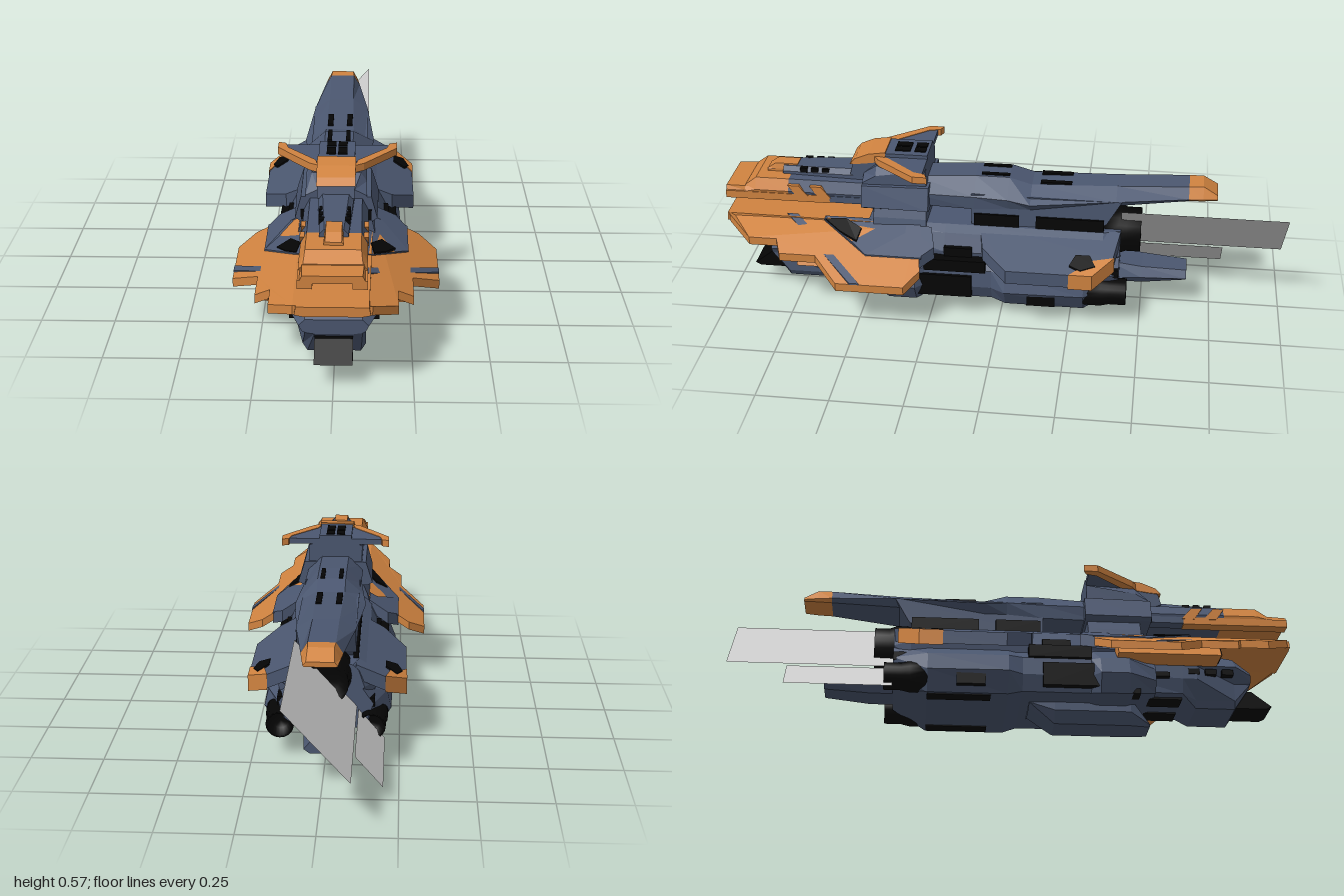
import * as THREE from 'three';

const mat = (name, color, side = THREE.FrontSide) => {
  const m = new THREE.MeshStandardMaterial({ color, side });
  m.name = name;
  return m;
};

export function createModel() {
  const ship = new THREE.Group();
  ship.name = 'spaceship';
  const blue = mat('slate blue', 0x4b5770), orange = mat('orange', 0xd08340);
  const black = mat('black', 0x050505), grey = mat('exhaust grey', 0xd0d0d0, THREE.DoubleSide);

  const add = (name, geo, material) => {
    const m = new THREE.Mesh(geo, material);
    m.name = name;
    ship.add(m);
  };
  // Box given by its limits on each axis
  const box = (name, m, x0, x1, y0, y1, z0, z1) =>
    add(name, new THREE.BoxGeometry(x1 - x0, y1 - y0, z1 - z0)
      .translate((x0 + x1) / 2, (y0 + y1) / 2, (z0 + z1) / 2), m);
  const pair = (name, m, x0, x1, ...rest) => {
    box(name + 'Left', m, x0, x1, ...rest);
    box(name + 'Right', m, -x1, -x0, ...rest);
  };
  // Symmetric faceted body: sections run front to back as [z, [x, y]...], bottom to top
  const loft = (name, m, sections) => {
    const rings = sections.map(([z, ...half]) => [
      ...half.map(([x, y]) => [x, y, z]),
      ...half.slice().reverse().map(([x, y]) => [-x, y, z])]);
    const p = [], n = rings[0].length;
    const tri = (...v) => v.forEach(q => p.push(...q));
    for (let i = 0; i < rings.length - 1; i++) for (let j = 0; j < n; j++) {
      const a = rings[i][j], b = rings[i][(j + 1) % n], c = rings[i + 1][j], d = rings[i + 1][(j + 1) % n];
      tri(a, c, b); tri(b, c, d);
    }
    const f = rings[0], e = rings[rings.length - 1];
    for (let j = 1; j < n - 1; j++) { tri(f[0], f[j], f[j + 1]); tri(e[0], e[j + 1], e[j]); }
    const g = new THREE.BufferGeometry();
    g.setAttribute('position', new THREE.Float32BufferAttribute(p, 3));
    g.computeVertexNormals();
    add(name, g, m);
  };
  const extrude = (pts, depth) => new THREE.ExtrudeGeometry(
    new THREE.Shape(pts.map(q => new THREE.Vector2(...q))), { depth, bevelEnabled: false });
  // Side profile in (z, y), extruded to half width w
  const profile = (name, m, w, pts) =>
    add(name, extrude(pts, 2 * w).rotateY(-Math.PI / 2).translate(w, 0, 0), m);
  // Mirrored plates with a plan outline in (x, z), lying on a sloped surface
  const plates = (name, m, outline, thick, height) => [1, -1].forEach(s => {
    const g = extrude(outline.map(([x, z]) => [s * x, -z]), thick).rotateX(-Math.PI / 2);
    const p = g.attributes.position;
    for (let i = 0; i < p.count; i++) p.setY(i, p.getY(i) + height(Math.abs(p.getX(i))));
    g.computeVertexNormals();
    add(name + (s > 0 ? 'Left' : 'Right'), g, m);
  });

  // Lower nose and lower hull
  loft('lowerNose', blue, [
    [.85, [.06, .15], [.09, .155], [.1, .16], [.11, .18], [.09, .2]],
    [.79, [.085, .06], [.1, .085], [.1, .15], [.14, .2], [.09, .25]],
    [.65, [.085, .06], [.1, .085], [.14, .15], [.14, .2], [.09, .27]],
    [.6, [.09, .09], [.12, .1], [.14, .15], [.14, .2], [.09, .27]],
    [.36, [.09, .09], [.13, .1], [.14, .16], [.14, .22], [.09, .27]]]);
  loft('lowerHull', blue, [
    [.5, [.14, .09], [.17, .125], [.165, .17], [.12, .24]],
    [.4, [.195, .062], [.23, .125], [.205, .19], [.14, .25]],
    [.3, [.195, .062], [.23, .125], [.205, .19], [.14, .25]],
    [.27, [.17, .07], [.195, .125], [.19, .19], [.14, .25]],
    [.03, [.17, .07], [.195, .125], [.19, .19], [.14, .25]],
    [-.02, [.18, .055], [.225, .125], [.205, .19], [.14, .25]],
    [-.3, [.18, .055], [.22, .125], [.205, .19], [.14, .25]],
    [-.42, [.1, .1], [.14, .13], [.16, .19], [.12, .25]]]);
  profile('noseIntake', black, .06, [[.93, .085], [.86, .14], [.76, .145], [.76, .075], [.91, .075]]);
  loft('ventralFin', blue, [
    [.49, [.045, 0], [.055, .005], [.05, .01]],
    [.42, [.055, 0], [.085, .04], [.085, .09]],
    [.15, [.055, 0], [.085, .04], [.085, .09]],
    [.06, [.05, .06], [.08, .07], [.08, .09]]]);
  loft('tailBoom', blue, [
    [-.38, [.05, .1], [.07, .12], [.05, .18]],
    [-.5, [.05, .1], [.07, .13], [.05, .165]],
    [-.66, [.04, .115], [.06, .13], [.04, .155]]]);

  // Middle hull, with a gap right through between the two upper blocks
  loft('middleHull', blue, [
    [.48, [.12, .22], [.14, .25], [.13, .31], [.11, .328]],
    [.2, [.16, .2], [.17, .25], [.14, .31], [.11, .33]],
    [-.36, [.16, .2], [.17, .25], [.14, .31], [.11, .33]],
    [-.42, [.1, .22], [.13, .25], [.11, .31], [.09, .33]]]);
  loft('frontTower', blue, [
    [.46, [.13, .31], [.12, .345], [.1, .39], [.1, .45]],
    [.27, [.13, .31], [.12, .345], [.1, .39], [.1, .45]]]);
  loft('shoulders', blue, [
    [.5, [.12, .38], [.135, .39], [.115, .465]],
    [.26, [.12, .38], [.14, .39], [.115, .47]]]);
  profile('rearTower', blue, .1, [[.11, .45], [.11, .32], [-.32, .32], [-.37, .36], [-.42, .45]]);
  add('centralGun', new THREE.CylinderGeometry(.03, .04, .03, 20).rotateX(Math.PI / 2).translate(0, .355, .472), blue);

  // Dorsal spine and its painted tip
  loft('spine', blue, [
    [.32, [.09, .39], [.1, .44], [.05, .485]],
    [.1, [.1, .39], [.105, .44], [.05, .498]],
    [-.02, [.1, .4], [.115, .44], [.05, .498]],
    [-.1, [.1, .4], [.125, .43], [.05, .475]],
    [-.4, [.08, .425], [.1, .45], [.045, .485]],
    [-.65, [.055, .448], [.068, .46], [.045, .498]]]);
  loft('spineTip', orange, [
    [-.65, [.055, .448], [.068, .46], [.045, .498]],
    [-.7, [.055, .45], [.062, .46], [.042, .5]],
    [-.75, [.05, .453], [.055, .458], [.045, .47]]]);

  // Upper nose: painted front, blue rear, slanted bands on the flanks
  const sec = z => [z, [.1, .4], [.105, .42], [.085, .46]];
  loft('upperNoseLip', orange, [[1, [.08, .4], [.1, .405], [.09, .425]], [.9, [.08, .4], [.1, .405], [.095, .428]]]);
  loft('upperNoseFront', orange, [[.93, [.1, .4], [.105, .41], [.09, .43]], sec(.89), sec(.77)]);
  loft('upperNoseRear', blue, [sec(.77), sec(.46)]);
  [.74, .66].forEach(z => profile('noseBand', orange, .107,
    [[z, .402], [z - .045, .402], [z - .01, .445], [z + .03, .445]]));
  pair('noseRail', orange, .06, .105, .382, .41, .62, 1);
  pair('noseRailRear', blue, .06, .105, .385, .41, .46, .62);
  loft('noseRidge', blue, [[.8, [.045, .45], [.045, .47], [.03, .485]], [.5, [.06, .45], [.06, .475], [.045, .495]]]);
  loft('noseSensor', orange, [[.86, [.03, .45], [.03, .465], [.025, .47]], [.83, [.03, .45], [.03, .47], [.025, .49]],
    [.75, [.03, .45], [.03, .47], [.025, .49]]]);
  for (let i = 0; i < 3; i++) pair('noseVent', black, .032, .05, .47, .488, .63 + i * .04, .655 + i * .04);

  // Bridge with swept side wings
  loft('bridgeBase', blue, [[.5, [.1, .44], [.1, .47], [.06, .49]], [.45, [.1, .44], [.1, .5], [.08, .53]],
    [.27, [.1, .44], [.1, .53], [.08, .54]]]);
  profile('bridge', blue, .06, [[.55, .48], [.54, .52], [.47, .563], [.42, .57], [.27, .57], [.27, .46], [.5, .46]]);
  profile('bridgeHood', orange, .063, [[.55, .522], [.53, .545], [.48, .566], [.42, .575], [.42, .54], [.5, .527]]);
  plates('bridgeWing', blue, [[.05, .27], [.05, .42], [.08, .42], [.18, .29], [.18, .27]], .02, () => .537);
  plates('bridgeWingEdge', orange, [[.06, .46], [.09, .44], [.2, .3], [.2, .25], [.175, .26], [.165, .3], [.07, .41]], .025, () => .534);
  pair('bridgeVent', black, .004, .034, .565, .574, .28, .32);
  pair('bridgeVent', black, .004, .034, .565, .574, .335, .39);

  // Lower front wings, drooping, with blue inner panel, stripe and vent
  const droop = x => .322 - .59 * Math.max(0, x - .125);
  loft('wingCentre', orange, [[1, [.09, .29], [.115, .295], [.11, .322]], [.46, [.09, .285], [.12, .29], [.12, .324]]]);
  plates('frontWing', orange, [[.09, .99], [.12, .99], [.2, .9], [.2, .8], [.25, .78], [.25, .65], [.34, .56],
    [.34, .32], [.28, .27], [.125, .3], [.09, .3]], .03, x => droop(x) - .03);
  plates('wingPanel', blue, [[.1, .29], [.125, .29], [.24, .27], [.24, .47], [.125, .64], [.1, .64]], .005, droop);
  plates('wingStripe', blue, [[.341, .475], [.341, .51], [.1, .78], [.1, .74]], .006, droop);
  plates('wingVent', black, [[.15, .5], [.195, .51], [.165, .575], [.125, .635], [.115, .56]], .008, droop);
  plates('wingRoot', blue, [[.13, .25], [.2, .23], [.24, .28], [.22, .34], [.13, .34]], .045, x => droop(x) - .04);
  [1, -1].forEach(s => {
    const pod = [[.12, .24], [.145, .197], [.24, .197], [.21, .25], [.15, .28]];
    const vent = [[.14, .22], [.15, .205], [.225, .205], [.205, .238], [.17, .255]];
    add('wingPod', extrude(pod.map(([x, y]) => [s * x, y]), .36).translate(0, 0, .36), orange);
    add('wingPodVent', extrude(vent.map(([x, y]) => [s * x, y]), .006).translate(0, 0, .72), black);
  });

  // Rear wings with painted corners
  const rearDroop = x => .256 - .5 * (x - .15);
  plates('rearWing', blue, [[.1, .08], [.19, .06], [.27, -.03], [.27, -.33], [.2, -.4], [.1, -.42]], .05, rearDroop);
  plates('rearWingCorner', orange, [[.273, -.25], [.273, -.332], [.2, -.405], [.215, -.33]], .058, x => rearDroop(x) - .004);
  plates('rearWingVent', black, [[.2, -.27], [.24, -.25], [.257, -.29], [.238, -.34], [.2, -.32]], .057, rearDroop);

  // Dark machinery and vents along the sides and belly
  [[.1, .205, .19, .235, .05, .27], [.1, .202, .085, .17, .1, .3], [.09, .108, .325, .375, -.06, .1],
    [.09, .108, .325, .375, -.36, -.12], [.15, .176, .23, .27, .1, .2], [.195, .216, .075, .115, -.2, -.1],
    [.12, .17, .052, .07, -.3, -.08], [.135, .19, .066, .084, .4, .44], [.13, .16, .148, .165, .45, .55],
    [.03, .1, .085, .1, .45, .6], [.025, .045, .46, .484, -.24, -.13], [.025, .04, .48, .503, -.02, .08],
    [.095, .116, .385, .42, .36, .503], [.145, .165, .18, .21, -.42, -.36],
    [.1, .143, .168, .188, .62, .66], [.1, .142, .168, .188, .68, .72], [.1, .142, .168, .188, .74, .78]]
    .forEach(v => pair('machinery', black, ...v));

  // Engines
  const engine = (name, x, y, r0, r1, z0, z1) => {
    const pts = [[0, 0], [r0, 0], [r0, .4], [r1, .6], [r1, 1], [r1 * .85, 1], [r1 * .6, .75], [0, .75]];
    const g = new THREE.LatheGeometry(pts.map(([r, t]) => new THREE.Vector2(r, t * (z0 - z1))), 20);
    add(name, g.rotateX(-Math.PI / 2).translate(x, y, z0), black);
  };
  engine('mainEngine', 0, .29, .09, .08, -.36, -.49);
  [1, -1].forEach(s => engine('lowerEngine', s * .155, .12, .055, .048, -.3, -.45));

  // Flat exhaust sheets, tilted about the long axis
  const sheet = (name, x0, y0, x1, y1, z0, z1) => {
    const g = new THREE.PlaneGeometry(Math.hypot(x1 - x0, y1 - y0), z0 - z1).rotateX(-Math.PI / 2)
      .rotateZ(Math.atan2(y1 - y0, x1 - x0)).translate((x0 + x1) / 2, (y0 + y1) / 2, (z0 + z1) / 2);
    add(name, g, grey);
  };
  sheet('mainExhaust', -.105, .18, .105, .415, -.42, -1);
  sheet('lowerExhaust', -.2, .065, -.11, .17, -.42, -.79);
  return ship;
}
